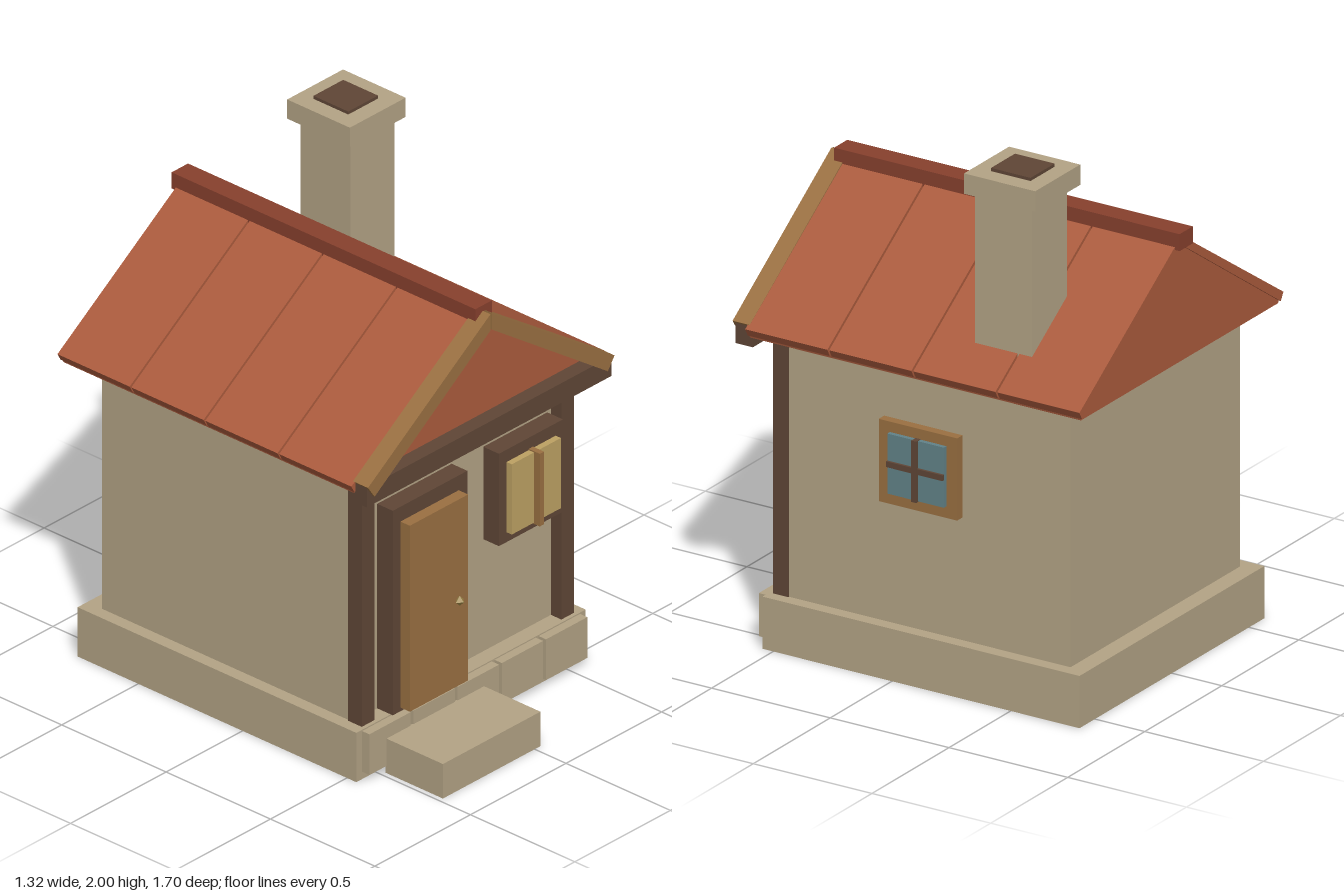
import * as THREE from 'three';

export function createModel() {
  const house = new THREE.Group();
  house.name = 'cottage';

  const paint = (name, color) => {
    const m = new THREE.MeshStandardMaterial({ color });
    m.name = name;
    return m;
  };
  const stone = paint('stone', 0xb3a385);
  const roofRed = paint('roofRed', 0xab5b3d);
  const ridgeRed = paint('ridgeRed', 0x87402d);
  const darkWood = paint('darkWood', 0x5f4636);
  const wood = paint('wood', 0x9a7041);
  const amber = paint('amberGlass', 0xbda163);
  const blue = paint('blueGlass', 0x618288);
  const brass = paint('brass', 0x9c8446);

  const add = (name, geometry, material) => {
    const mesh = new THREE.Mesh(geometry, material);
    mesh.name = name;
    house.add(mesh);
    return mesh;
  };
  // Box given by its limits on each axis
  const box = (name, material, [x0, x1], [y0, y1], [z0, z1]) => {
    const g = new THREE.BoxGeometry(x1 - x0, y1 - y0, z1 - z0);
    g.translate((x0 + x1) / 2, (y0 + y1) / 2, (z0 + z1) / 2);
    return add(name, g, material);
  };
  // Front-facing outline pushed from z0 to z1
  const slab = (name, material, points, z0, z1) => {
    const shape = new THREE.Shape(points.map(([x, y]) => new THREE.Vector2(x, y)));
    const g = new THREE.ExtrudeGeometry(shape, { depth: z1 - z0, bevelEnabled: false });
    g.translate(0, 0, z0);
    return add(name, g, material);
  };

  // Foundation, facing stones and doorstep
  box('foundation', stone, [-0.6, 0.6], [0, 0.2], [-0.79, 0.545]);
  for (let i = -2; i <= 2; i++) {
    const x = i * 0.231;
    box('facingStone', stone, [x - 0.108, x + 0.108], [0.03, 0.195], [0.54, 0.58]);
  }
  box('doorstep', stone, [-0.48, 0.03], [0, 0.14], [0.575, 0.85]);

  // Walls and corner posts
  box('walls', stone, [-0.55, 0.55], [0.2, 1.205], [-0.72, 0.48]);
  for (const s of [-1, 1]) {
    const x = s * 0.522;
    box('cornerPost', darkWood, [x - 0.033, x + 0.033], [0.2, 1.2], [0.465, 0.53]);
  }

  // Door
  box('doorFrame', darkWood, [-0.42, -0.03], [0.2, 1.03], [0.47, 0.555]);
  box('door', wood, [-0.38, -0.075], [0.215, 0.97], [0.55, 0.6]);
  add('doorKnob', new THREE.OctahedronGeometry(0.02), brass).position.set(-0.13, 0.565, 0.61);

  // Front window
  box('frontWindowFrame', darkWood, [0.135, 0.47], [0.655, 1.03], [0.47, 0.555]);
  box('frontWindowPane', amber, [0.175, 0.432], [0.695, 0.98], [0.55, 0.58]);
  box('frontWindowMullion', wood, [0.291, 0.313], [0.69, 0.985], [0.55, 0.608]);

  // Side window
  box('sideWindowFrame', wood, [0.54, 0.585], [0.67, 0.985], [-0.265, 0.065]);
  box('sideWindowPane', blue, [0.58, 0.602], [0.715, 0.945], [-0.22, 0.018]);
  box('sideWindowMullion', darkWood, [0.58, 0.614], [0.712, 0.947], [-0.111, -0.09]);
  box('sideWindowBar', darkWood, [0.58, 0.611], [0.82, 0.842], [-0.22, 0.018]);

  // Roof body
  slab('roofBody', roofRed, [[-0.64, 1.2], [0.64, 1.2], [0.645, 1.22], [0, 1.66], [-0.645, 1.22]], -0.822, 0.572);

  // Roof panels and barge boards, mirrored about the ridge
  for (const s of [-1, 1]) {
    const flip = (points) => points.map(([x, y]) => [s * x, y]);
    for (let i = 0; i < 4; i++) {
      const z = -0.83 + i * 0.354;
      slab('roofPanel', roofRed, flip([[0, 1.685], [0.662, 1.238], [0.645, 1.208], [0, 1.65]]), z, z + 0.346);
    }
    slab('bargeBoard', wood, flip([[0.004, 1.688], [0.645, 1.25], [0.61, 1.2], [0.004, 1.622]]), 0.57, 0.642);
  }
  box('gableBeam', darkWood, [-0.64, 0.64], [1.165, 1.245], [0.56, 0.632]);
  box('ridgeCap', ridgeRed, [-0.043, 0.043], [1.645, 1.71], [-0.85, 0.605]);

  // Chimney
  box('chimneyStack', stone, [0.29, 0.518], [1.3, 1.92], [-0.537, -0.297]);
  box('chimneyCap', stone, [0.256, 0.548], [1.91, 1.988], [-0.57, -0.27]);
  box('chimneyFlue', darkWood, [0.322, 0.478], [1.97, 2.0], [-0.505, -0.338]);

  return house;
}
